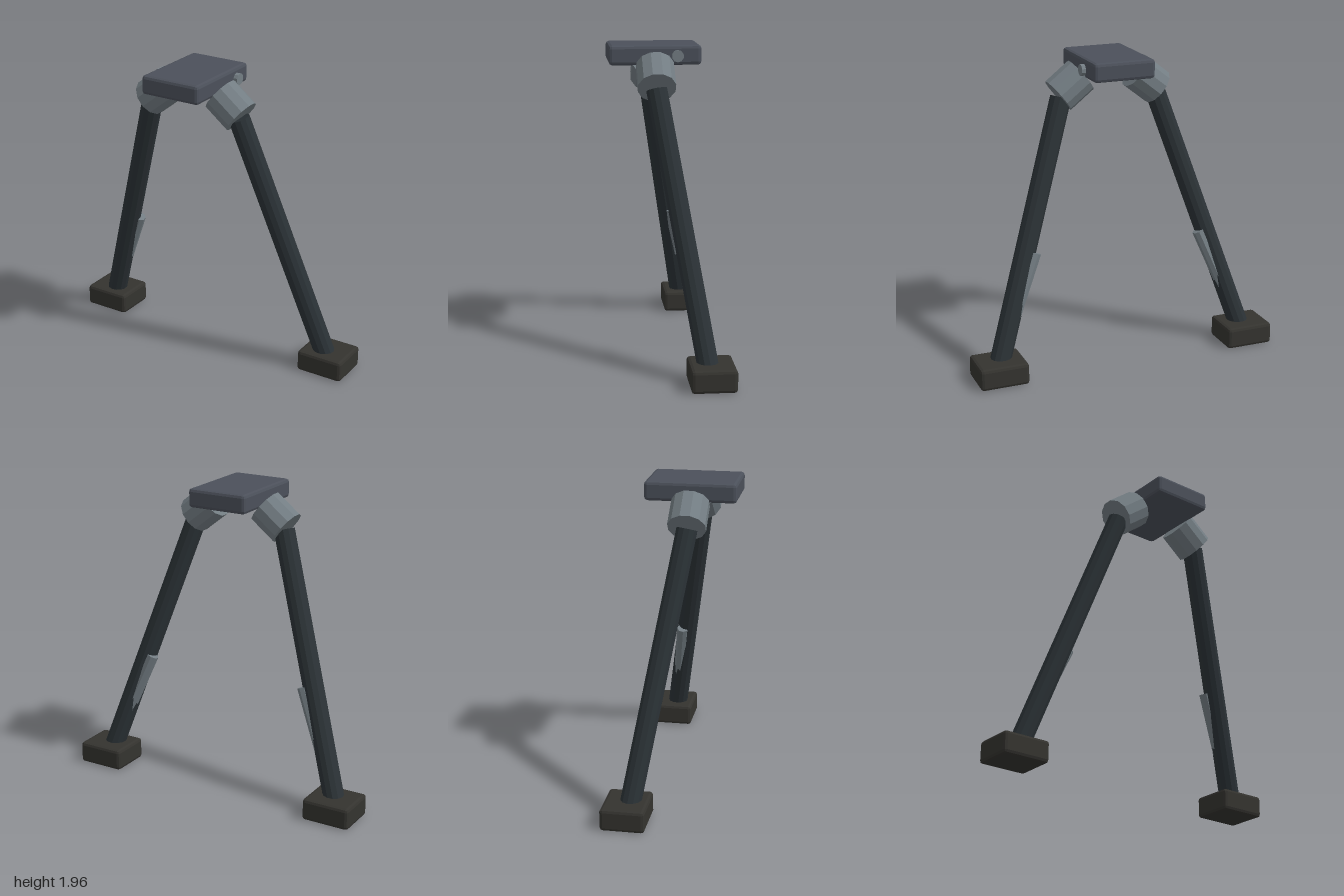
import * as THREE from 'three';
import { RoundedBoxGeometry } from 'three/addons/geometries/RoundedBoxGeometry.js';

const mat = (color) => new THREE.MeshStandardMaterial({ color, flatShading: true });
const plateMat = mat(0x4b505a);
const metalMat = mat(0x737d83);
const legMat = mat(0x2b3236);
const rubberMat = mat(0x34332f);

// Box with chamfered edges
function block(name, size, center, material) {
  const mesh = new THREE.Mesh(new RoundedBoxGeometry(...size, 1, 0.02), material);
  mesh.name = name;
  mesh.position.set(...center);
  return mesh;
}

// Faceted cylinder between two points, with a flat towards the side
function rod(name, from, to, radius, sides, material) {
  const a = new THREE.Vector3(...from);
  const b = new THREE.Vector3(...to);
  const dir = b.clone().sub(a);
  const geo = new THREE.CylinderGeometry(radius, radius, dir.length(), sides);
  geo.rotateY(Math.PI / sides);
  const mesh = new THREE.Mesh(geo, material);
  mesh.name = name;
  mesh.position.copy(a).add(b).multiplyScalar(0.5);
  mesh.quaternion.setFromUnitVectors(new THREE.Vector3(0, 1, 0), dir.normalize());
  return mesh;
}

export function createModel() {
  const model = new THREE.Group();
  model.name = 'bipod';

  // Mounting plate
  model.add(block('mountPlate', [0.4, 0.12, 0.57], [0, 1.897, 0.0625], plateMat));

  for (const s of [1, -1]) {
    const side = new THREE.Group();
    side.name = s > 0 ? 'leftLeg' : 'rightLeg';

    // Tilted pivot hub
    side.add(rod('pivotHub', [s * 0.182, 1.832, 0.065], [s * 0.332, 1.714, 0.065], 0.119, 12, metalMat));
    // Splayed leg tube, sunk into the foot
    side.add(rod('legTube', [s * 0.316, 1.702, 0.065], [s * 0.845, 0.07, -0.201], 0.066, 12, legMat));
    // Release lever half buried in the leg's inner back
    side.add(rod('releaseLever', [s * 0.56, 0.772, -0.112], [s * 0.756, 0.3, -0.173], 0.039, 8, metalMat));
    // Foot pad
    side.add(block('footPad', [0.313, 0.14, 0.274], [s * 0.844, 0.07, -0.215], rubberMat));
    model.add(side);
  }

  // Locking knob on the left only
  model.add(rod('lockKnob', [0.212, 1.895, -0.072], [0.237, 1.895, -0.072], 0.037, 10, metalMat));

  return model;
}
